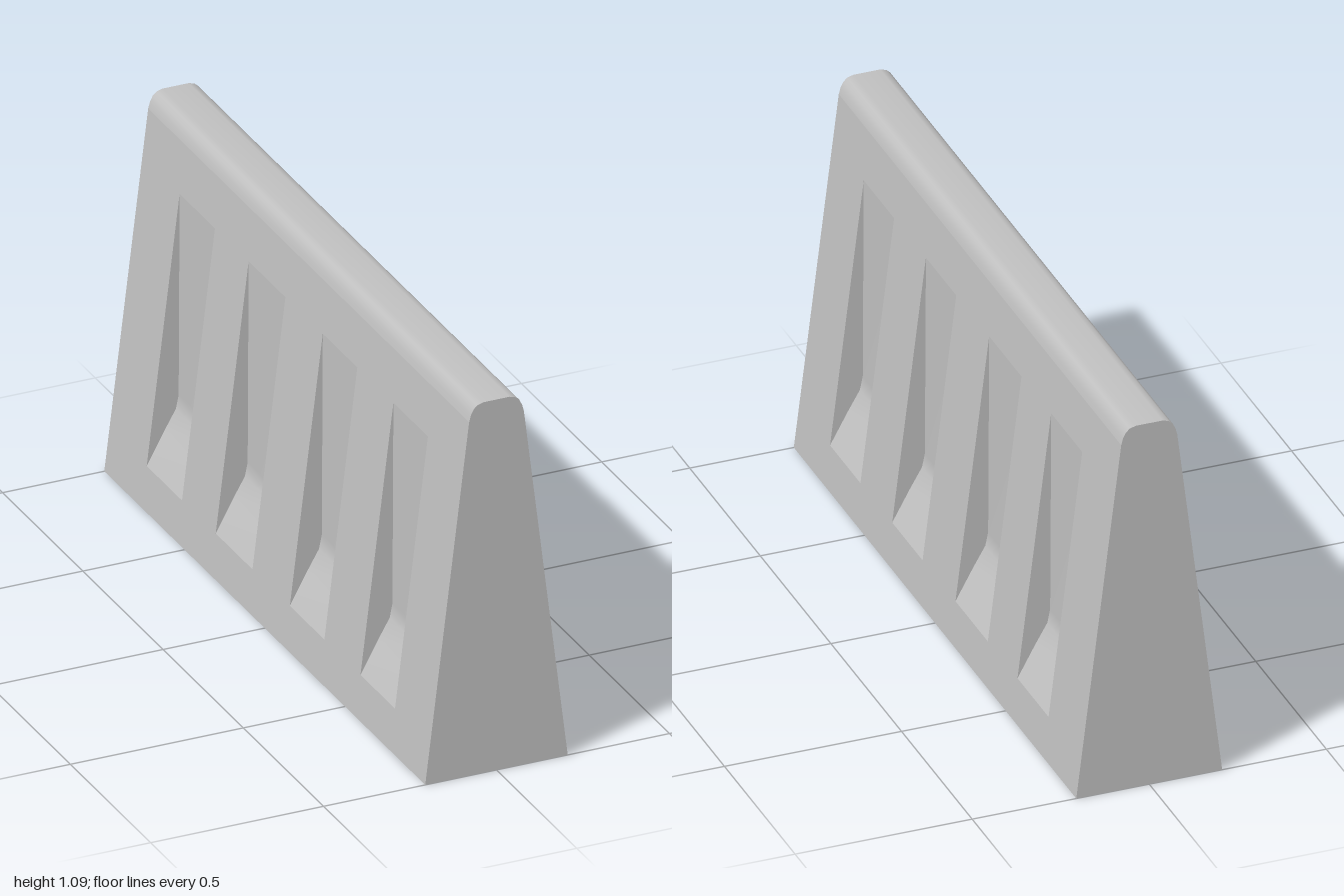
import * as THREE from 'three';

const concrete = new THREE.MeshStandardMaterial({ color: 0xbfbfbf, side: THREE.DoubleSide });
concrete.name = 'concrete grey';

// half-width of the sloping flank at height y
const SHOULDER = 1.04;
const flankX = (y) => 0.206 - 0.122 * y;

// rounded crown, from the +x shoulder to the -x shoulder
const half = [[flankX(SHOULDER), SHOULDER], [0.074, 1.059], [0.066, 1.075], [0.055, 1.085], [0.038, 1.09]];
const crown = [...half, ...half.map(([x, y]) => [-x, y]).reverse()];

// recess floor: foot ramp, slightly eased corner, near-vertical back
const LOW = 0.12, HIGH = 0.9;
const floor = [[flankX(LOW), LOW], [0.142, 0.21], [0.107, 0.27], [0.099, 0.31], [flankX(HIGH), HIGH]];
const bays = [[0.565, 0.78], [0.125, 0.34], [-0.337, -0.108], [-0.767, -0.547]];

const toShape = (pts) => new THREE.Shape(pts.map(([x, y]) => new THREE.Vector2(x, y)));

function mesh(name, geometry) {
  const m = new THREE.Mesh(geometry, concrete);
  m.name = name;
  return m;
}

// smooth strip sweeping a cross-section from z0 to z1
function strip(pts, z0, z1) {
  const pos = [], index = [];
  pts.forEach(([x, y], i) => {
    pos.push(x, y, z0, x, y, z1);
    const a = i * 2;
    if (i < pts.length - 1) index.push(a, a + 2, a + 1, a + 2, a + 3, a + 1);
  });
  const g = new THREE.BufferGeometry();
  g.setAttribute('position', new THREE.Float32BufferAttribute(pos, 3));
  g.setIndex(index);
  g.computeVertexNormals();
  return g;
}

const rect = (u0, u1, y0, y1) => [[u0, y0], [u1, y0], [u1, y1], [u0, y1]];

// one flank facing +x, with its four recesses; flip reverses the bay positions
function flank(name, flip) {
  const group = new THREE.Group();
  group.name = name;
  const spans = bays.map(([a, b]) => (flip ? [-b, -a] : [a, b]));

  // sloping panel with openings
  const panel = toShape(rect(-1, 1, 0, SHOULDER));
  spans.forEach(([a, b]) => panel.holes.push(toShape(rect(-b, -a, LOW, HIGH))));
  const g = new THREE.ShapeGeometry(panel).rotateY(Math.PI / 2);
  const p = g.attributes.position;
  for (let i = 0; i < p.count; i++) p.setX(i, flankX(p.getY(i)));
  g.computeVertexNormals();
  group.add(mesh('flankPanel', g));

  // recess floors and cheeks
  spans.forEach(([a, b]) => {
    group.add(mesh('recessFloor', strip(floor, a, b)));
    for (const z of [a, b]) {
      group.add(mesh('recessCheek', new THREE.ShapeGeometry(toShape(floor)).translate(0, 0, z)));
    }
  });
  return group;
}

export function createModel() {
  const model = new THREE.Group();
  model.name = 'roadBarrier';

  const left = flank('leftFlank', false);
  const right = flank('rightFlank', true);
  right.rotation.y = Math.PI;
  model.add(left, right);

  // rounded top and flat underside
  const w = flankX(0);
  model.add(mesh('crown', strip(crown, -1, 1)));
  model.add(mesh('base', strip([[-w, 0], [w, 0]], -1, 1)));

  // end faces
  const end = new THREE.ShapeGeometry(toShape([[-w, 0], [w, 0], ...crown]));
  const front = mesh('frontEnd', end);
  front.position.z = 1;
  const back = mesh('backEnd', end);
  back.position.z = -1;
  back.rotation.y = Math.PI;
  model.add(front, back);
  return model;
}
